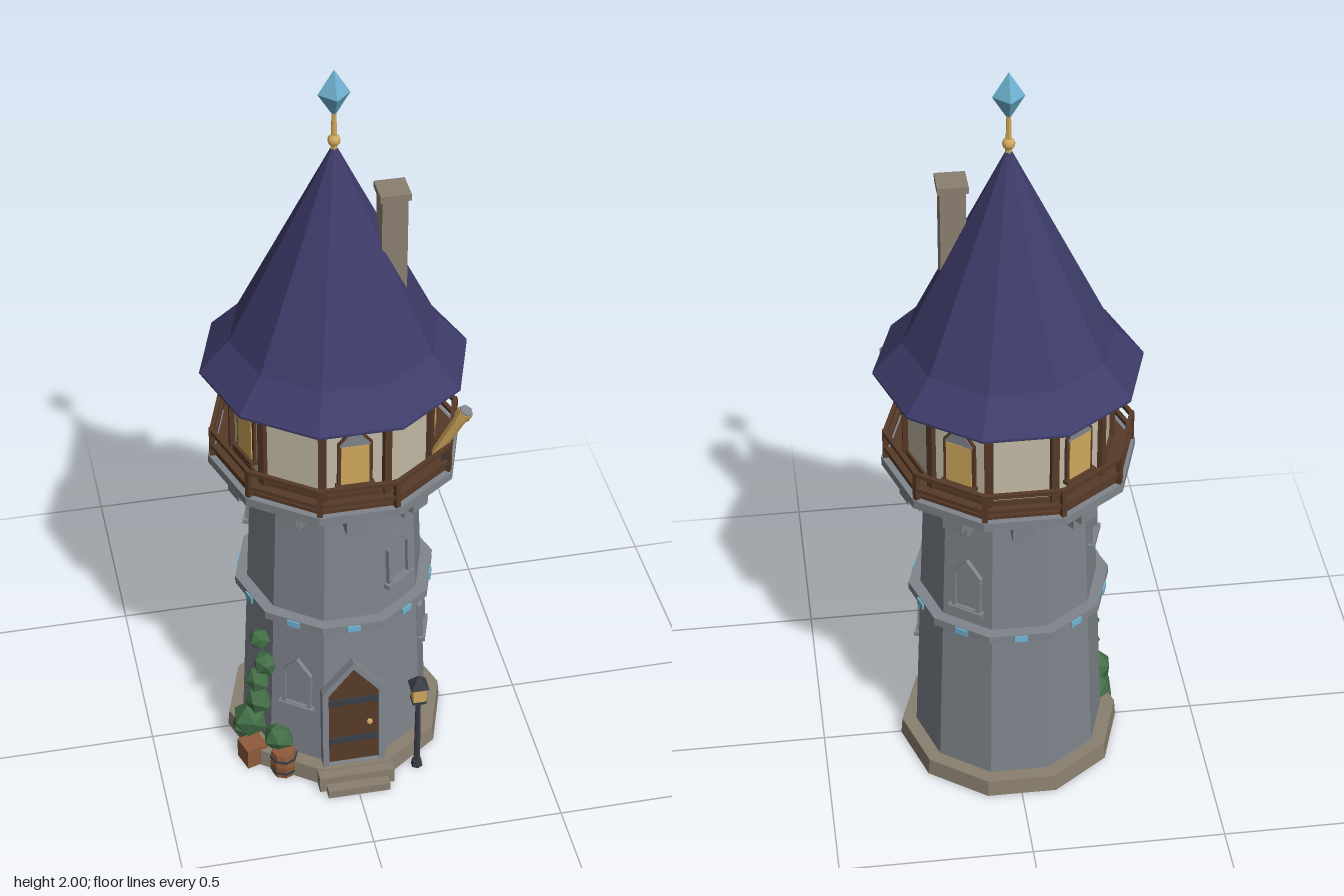
import * as THREE from 'three';

const mat = (name, color) => Object.assign(new THREE.MeshStandardMaterial({ color }), { name });
const M = {
  stone: mat('grey stone', 0x7f858c),
  tan: mat('tan stone', 0x8b8070),
  cream: mat('cream plaster', 0xc3baa6),
  roof: mat('indigo slate', 0x3e3c6a),
  wood: mat('dark timber', 0x573a27),
  crate: mat('light timber', 0x8f5b3a),
  gold: mat('warm gold', 0xd0a85c),
  leaf: mat('leaf green', 0x436e47),
  crystal: mat('blue crystal', 0x70b4d2),
  iron: mat('dark iron', 0x383d45),
};
const SIDES = 10, HALF = Math.PI / SIDES, APO = Math.cos(HALF);

// Faceted mesh added to a parent
function add(parent, name, geo, material, x = 0, y = 0, z = 0) {
  const g = geo.index ? geo.toNonIndexed() : geo;
  g.computeVertexNormals();
  const m = new THREE.Mesh(g, material);
  m.name = name;
  m.position.set(x, y, z);
  parent.add(m);
  return m;
}
const box = (w, h, d) => new THREE.BoxGeometry(w, h, d);

// Ten-sided drum between two heights, a flat side facing +z
function drum(parent, name, r0, r1, y0, y1, material, open = false) {
  return add(parent, name, new THREE.CylinderGeometry(r1, r0, y1 - y0, SIDES, 1, open, HALF), material, 0, (y0 + y1) / 2, 0);
}

// Group whose +z points outward at an angle measured from +x towards +z
function facing(parent, deg, name) {
  const g = new THREE.Group();
  g.name = name;
  g.rotation.y = Math.PI / 2 - THREE.MathUtils.degToRad(deg);
  parent.add(g);
  return g;
}

// Gabled opening outline, standing on y0
function archPoints(w, shoulder, top, y0 = 0) {
  return [[-w, y0], [w, y0], [w, shoulder], [0, top], [-w, shoulder]].map(p => new THREE.Vector2(...p));
}
function arch(outer, inner, depth) {
  const s = new THREE.Shape(outer);
  if (inner) s.holes.push(new THREE.Path(inner));
  return new THREE.ExtrudeGeometry(s, { depth, bevelEnabled: false });
}

// Tapering stone wall: distance of a flat side from the axis
const wallAt = y => APO * (0.25 - 0.034 * (y - 0.05) / 0.82);

function stoneWindow(parent, deg, y) {
  const g = facing(parent, deg, 'stoneWindow');
  const s = new THREE.Group();
  s.position.set(0, y, wallAt(y));
  s.rotation.x = -0.04;
  g.add(s);
  add(s, 'windowFrame', arch(archPoints(0.041, 0.115, 0.16), archPoints(0.03, 0.11, 0.143, 0.012), 0.022), M.stone, 0, 0, -0.01);
  add(s, 'windowPanel', arch(archPoints(0.031, 0.111, 0.145, 0.01), null, 0.008), M.stone, 0, 0, -0.005);
  add(s, 'windowSill', box(0.098, 0.012, 0.036), M.stone, 0, 0.004, 0);
}

function buildShaft(t) {
  drum(t, 'plinth', 0.292, 0.288, 0.003, 0.05, M.tan);
  drum(t, 'towerWall', 0.25, 0.216, 0.05, 0.87, M.stone);
  drum(t, 'stringCourse', 0.262, 0.262, 0.5, 0.522, M.stone);
  [[126, 0.215], [54, 0.595], [18, 0.315], [-54, 0.56], [198, 0.675]].forEach(([a, y]) => stoneWindow(t, a, y));

  // Gems in the string course and stepped corbels on every side
  for (let i = 0; i < SIDES; i++) {
    const g = facing(t, 18 + i * 36, 'corbel');
    add(g, 'gem', box(0.034, 0.017, 0.009), M.crystal, 0, 0.511, 0.262 * APO);
    add(g, 'upperCorbel', box(0.055, 0.045, 0.115), M.stone, 0, 0.8855, 0.232);
    add(g, 'lowerCorbel', box(0.045, 0.04, 0.07), M.stone, 0, 0.848, 0.222);
  }

  // Door with frame, iron bands and knob
  const d = new THREE.Group();
  d.name = 'door';
  d.position.set(0, 0.05, wallAt(0.05));
  d.rotation.x = -0.04;
  t.add(d);
  add(d, 'doorFrame', arch(archPoints(0.083, 0.245, 0.338), archPoints(0.067, 0.238, 0.318, 0.001), 0.04), M.stone, 0, 0, -0.015);
  add(d, 'doorLeaf', arch(archPoints(0.068, 0.239, 0.32), null, 0.022), M.wood, 0, 0, -0.01);
  for (const y of [0.075, 0.205]) add(d, 'doorBand', box(0.13, 0.017, 0.009), M.iron, 0, y, 0.014);
  add(d, 'doorKnob', new THREE.IcosahedronGeometry(0.009, 0), M.gold, 0.043, 0.13, 0.019);
  add(t, 'upperStep', box(0.2, 0.046, 0.1), M.tan, 0, 0.023, 0.253);
  add(t, 'lowerStep', box(0.165, 0.024, 0.1), M.tan, 0, 0.012, 0.281);
}

function buildRoom(t) {
  drum(t, 'deckSlab', 0.322, 0.322, 0.908, 0.932, M.stone);
  drum(t, 'deckSoffit', 0.316, 0.316, 0.904, 0.908, M.iron);
  drum(t, 'deckFloor', 0.305, 0.305, 0.932, 0.942, M.wood);
  drum(t, 'roomWall', 0.257, 0.257, 0.942, 1.19, M.cream);
  drum(t, 'roomFootBeam', 0.264, 0.264, 0.942, 0.955, M.wood);
  drum(t, 'roomHeadBeam', 0.264, 0.264, 1.176, 1.19, M.wood);
  const railR = 0.311;
  for (let i = 0; i < SIDES; i++) {
    // Corner posts of the room and the balcony
    const c = facing(t, i * 36, 'corner');
    add(c, 'roomPost', box(0.02, 0.245, 0.02), M.wood, 0, 1.065, 0.257);
    add(c, 'railPost', box(0.013, 0.085, 0.013), M.wood, 0, 0.97, railR);
    // Rails, and a lit window on every other side
    const f = facing(t, 18 + i * 36, 'roomSide');
    for (const y of [0.962, 1.006]) add(f, 'rail', box(2 * railR * Math.sin(HALF), 0.011, 0.011), M.wood, 0, y, railR * APO);
    if (i % 2) continue;
    const z = 0.257 * APO;
    add(f, 'litWindowFrame', arch(archPoints(0.044, 0.125, 0.178), null, 0.01), M.wood, 0, 0.982, z - 0.003);
    add(f, 'litWindowHead', arch(archPoints(0.038, 0.121, 0.167, 0.117), null, 0.006), M.stone, 0, 0.984, z + 0.003);
    add(f, 'litWindowGlass', box(0.07, 0.114, 0.008), M.gold, 0, 1.044, z + 0.006);
    add(f, 'litWindowSill', box(0.096, 0.01, 0.026), M.wood, 0, 0.982, z + 0.006);
  }
}

function buildRoof(t) {
  drum(t, 'eaveSoffit', 0.332, 0.332, 1.182, 1.186, M.iron);
  drum(t, 'eave', 0.3365, 0.3365, 1.186, 1.192, M.roof);
  drum(t, 'roofFlare', 0.3365, 0.262, 1.192, 1.272, M.roof, true);
  drum(t, 'roofSpire', 0.262, 0.001, 1.272, 1.805, M.roof, true);
  add(t, 'chimney', box(0.063, 0.31, 0.063), M.tan, 0.131, 1.525, 0.048);
  add(t, 'chimneyCap', box(0.075, 0.018, 0.075), M.tan, 0.131, 1.685, 0.048);
  // Finial
  add(t, 'finialRod', new THREE.CylinderGeometry(0.006, 0.009, 0.1, 6), M.gold, 0, 1.835, 0);
  add(t, 'finialBall', new THREE.IcosahedronGeometry(0.016, 1), M.gold, 0, 1.812, 0);
  const o = new THREE.OctahedronGeometry(1, 0);
  o.scale(0.039, 0.063, 0.039);
  add(t, 'finialCrystal', o, M.crystal, 0, 1.937, 0);
}

function buildProps(root) {
  // Lamp post
  const l = new THREE.Group();
  l.name = 'lamp';
  l.position.set(0.172, 0, 0.247);
  root.add(l);
  add(l, 'lampFoot', new THREE.CylinderGeometry(0.013, 0.016, 0.02, 6), M.iron, 0, 0.01, 0);
  add(l, 'lampPost', new THREE.CylinderGeometry(0.007, 0.009, 0.235, 6), M.iron, 0, 0.12, 0);
  add(l, 'lampBase', box(0.036, 0.008, 0.036), M.iron, 0, 0.236, 0);
  add(l, 'lampGlass', box(0.034, 0.046, 0.034), M.gold, 0, 0.263, 0);
  add(l, 'lampCap', new THREE.CylinderGeometry(0.004, 0.034, 0.03, 4, 1, false, Math.PI / 4), M.iron, 0, 0.3, 0);

  // Telescope on the balcony
  const a = new THREE.Vector3(0.225, 0.97, 0.15), b = new THREE.Vector3(0.287, 1.122, 0.193);
  const dir = b.clone().sub(a), len = dir.length();
  const s = new THREE.Group();
  s.name = 'telescope';
  s.position.copy(a);
  s.quaternion.setFromUnitVectors(new THREE.Vector3(0, 1, 0), dir.normalize());
  root.add(s);
  add(s, 'telescopeTube', new THREE.CylinderGeometry(0.016, 0.013, len, 6), M.gold, 0, len / 2, 0);
  add(s, 'telescopeRim', new THREE.CylinderGeometry(0.02, 0.02, 0.024, 6), M.gold, 0, len - 0.012, 0);
  add(s, 'telescopeLens', new THREE.CylinderGeometry(0.018, 0.018, 0.004, 6), M.stone, 0, len + 0.002, 0);
  add(root, 'telescopeStand', new THREE.CylinderGeometry(0.006, 0.016, 0.09, 5), M.iron, 0.247, 0.985, 0.166);

  // Climbing ivy
  [[-0.22, 0.395, 0.105, 0.03], [-0.207, 0.32, 0.118, 0.036], [-0.225, 0.25, 0.1, 0.037], [-0.223, 0.185, 0.105, 0.042],
    [-0.246, 0.1, 0.085, 0.05], [-0.183, 0.092, 0.162, 0.044], [-0.243, 0.05, 0.055, 0.052]].forEach(([x, y, z, r], i) => {
    const m = add(root, 'ivyClump', new THREE.IcosahedronGeometry(r, 0), M.leaf, x, y, z);
    m.rotation.set(i * 0.7, i * 1.3, 0);
  });

  // Crate and barrel
  const c = add(root, 'crate', box(0.06, 0.06, 0.06), M.crate, -0.25, 0.03, 0.135);
  c.rotation.y = 0.3;
  add(root, 'barrelLower', new THREE.CylinderGeometry(0.036, 0.031, 0.038, 8), M.crate, -0.178, 0.019, 0.198);
  add(root, 'barrelUpper', new THREE.CylinderGeometry(0.031, 0.036, 0.038, 8), M.crate, -0.178, 0.057, 0.198);
  for (const y of [0.018, 0.058]) add(root, 'barrelHoop', new THREE.CylinderGeometry(0.0365, 0.0365, 0.006, 8), M.iron, -0.178, y, 0.198);
}

export function createModel() {
  const root = new THREE.Group();
  root.name = 'wizardTower';
  const tower = new THREE.Group();
  tower.name = 'tower';
  tower.position.z = -0.006;
  root.add(tower);
  buildShaft(tower);
  buildRoom(tower);
  buildRoof(tower);
  buildProps(root);
  return root;
}
